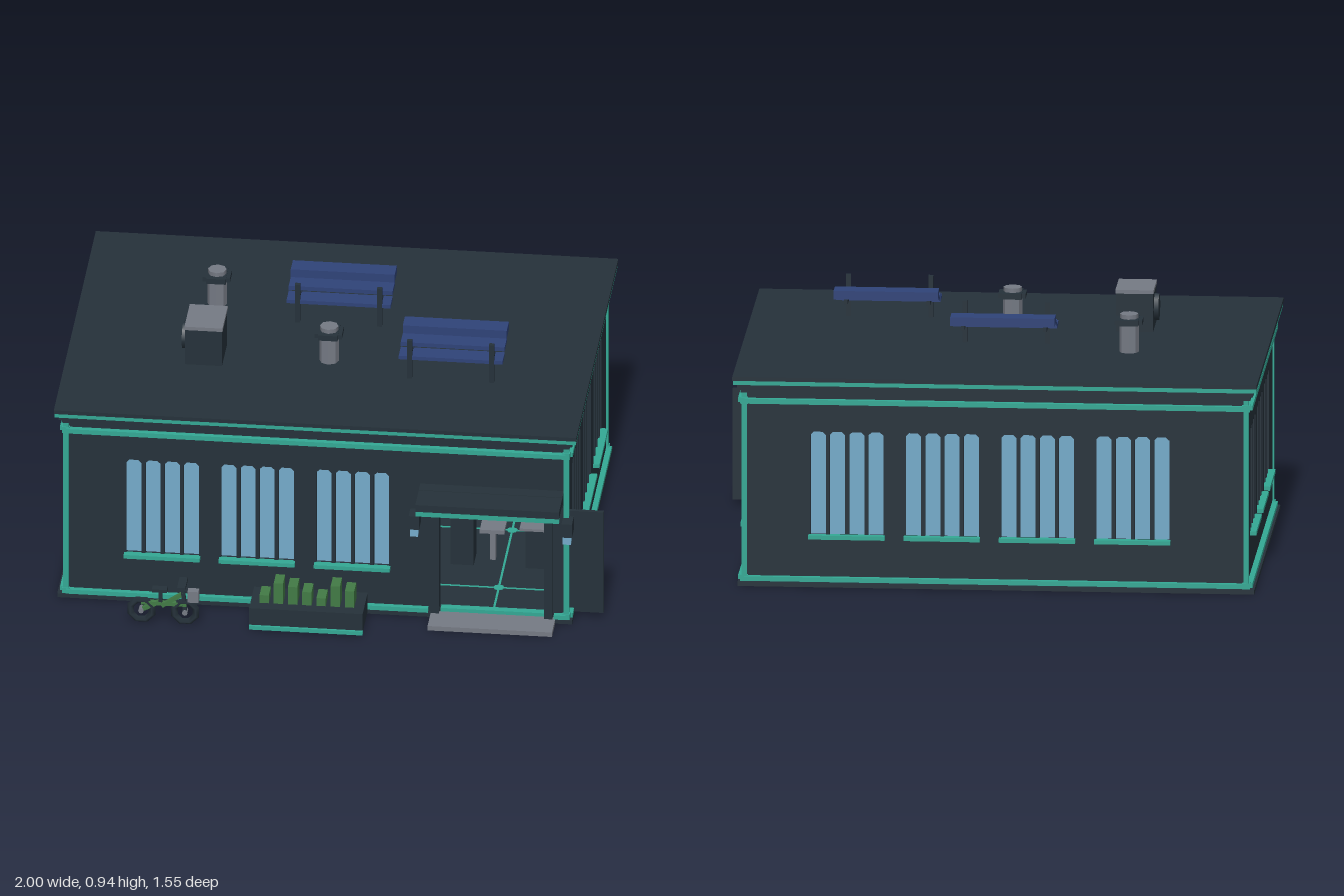
import * as THREE from 'three';

const mat = (name, color) => Object.assign(new THREE.MeshStandardMaterial({ color }), { name });

export function createModel() {
  const root = new THREE.Group();
  root.name = 'building';
  const dark = mat('dark slate', 0x25313a);
  const teal = mat('teal trim', 0x33a894);
  const glass = mat('blue glass', 0x74abca);
  const solar = mat('solar blue', 0x2f4378);
  const green = mat('plant green', 0x427a45);
  const grey = mat('grey metal', 0x757a84);
  const rugGreen = mat('rug green', 0x1f4a3c);

  const add = (parent, name, geometry, material) => {
    const m = new THREE.Mesh(geometry, material);
    m.name = name;
    parent.add(m);
    return m;
  };
  // box given by its limits on each axis
  const box = (parent, name, material, x0, x1, y0, y1, z0, z1) => {
    const m = add(parent, name, new THREE.BoxGeometry(x1 - x0, y1 - y0, z1 - z0), material);
    m.position.set((x0 + x1) / 2, (y0 + y1) / 2, (z0 + z1) / 2);
    return m;
  };
  const group = (name, parent = root) => {
    const g = new THREE.Group();
    g.name = name;
    parent.add(g);
    return g;
  };
  const polygon = (points, Type = THREE.Path) => new Type(points.map(p => new THREE.Vector2(...p)));

  // walls: outer face at local z = 0, windows recessed in chamfered openings
  const T = 0.03;
  function wall(name, half, windows, door) {
    const g = group(name);
    const panel = polygon([[-half, 0.015], [half, 0.015], [half, 0.74], [-half, 0.74]], THREE.Shape);
    for (const u of windows) {
      for (let i = 0; i < 4; i++) {
        const a = u - 0.133 + i * 0.07, b = a + 0.056, c = 0.012;
        panel.holes.push(polygon([[a, 0.19], [a, 0.575 - c], [a + c, 0.575], [b - c, 0.575], [b, 0.575 - c], [b, 0.19]]));
      }
      box(g, 'windowGlass', glass, u - 0.14, u + 0.14, 0.185, 0.58, -T - 0.004, -0.018);
      box(g, 'windowSill', teal, u - 0.14, u + 0.138, 0.177, 0.192, -0.005, 0.023);
    }
    if (door) {
      panel.holes.push(polygon([[door[0], 0.03], [door[0], 0.46], [door[1], 0.46], [door[1], 0.03]]));
    }
    const geo = new THREE.ExtrudeGeometry(panel, { depth: T, bevelEnabled: false });
    geo.translate(0, 0, -T);
    add(g, 'wallPanel', geo, dark);
    const w = half - 0.002;
    box(g, 'upperBand', teal, -w, w, 0.68, 0.698, -0.005, 0.02);
    if (door) {
      box(g, 'lowerBand', teal, -w, door[0] - 0.035, 0.018, 0.035, -0.005, 0.02);
      box(g, 'lowerBand', teal, door[1] + 0.035, w, 0.018, 0.035, -0.005, 0.02);
    } else box(g, 'lowerBand', teal, -w, w, 0.018, 0.035, -0.005, 0.02);
    return g;
  }
  const front = wall('frontWall', 0.915, [-0.562, -0.215, 0.133], [0.445, 0.835]);
  front.position.set(-0.045, 0, 0.56);
  const back = wall('backWall', 0.915, [-0.54, -0.193, 0.154, 0.501]);
  back.position.set(-0.045, 0, -0.73);
  back.rotation.y = Math.PI;
  for (const s of [-1, 1]) {
    const side = wall(s > 0 ? 'leftWall' : 'rightWall', 0.643, [-0.348, 0, 0.348]);
    side.position.set(-0.045 + s * 0.917, 0, -0.085);
    side.rotation.y = s * Math.PI / 2;
  }

  // corner trims with small brackets
  for (const sx of [-1, 1]) for (const sz of [-1, 1]) {
    const x = -0.045 + sx * 0.914, z = -0.085 + sz * 0.645;
    box(root, 'cornerTrim', teal, x - 0.01, x + 0.01, 0.02, 0.735, z - 0.01, z + 0.01);
    for (const y of [0.026, 0.69]) {
      box(root, 'cornerBracket', teal, x - 0.014, x + 0.014, y - 0.012, y + 0.012, z - 0.014, z + 0.014);
    }
  }

  // roof, cornice, foundation rim and floor
  box(root, 'corniceLower', dark, -0.975, 0.882, 0.72, 0.738, -0.745, 0.574);
  box(root, 'corniceUpper', dark, -0.985, 0.893, 0.736, 0.756, -0.757, 0.585);
  box(root, 'roofEdge', teal, -0.998, 0.908, 0.754, 0.772, -0.77, 0.6);
  box(root, 'roofSlab', dark, -1, 0.91, 0.77, 0.785, -0.773, 0.603);
  box(root, 'floor', dark, -0.95, 0.86, 0.005, 0.017, -0.72, 0.55);
  box(root, 'foundationFront', dark, -0.99, 0.892, 0, 0.016, 0.53, 0.577);
  box(root, 'foundationBack', dark, -0.99, 0.892, 0, 0.016, -0.757, -0.7);
  box(root, 'foundationSide', dark, -0.99, -0.93, 0, 0.016, -0.7, 0.53);
  box(root, 'foundationSide', dark, 0.84, 0.892, 0, 0.016, -0.7, 0.53);

  // floor inlays run through the slab
  for (const z of [-0.08, 0.36]) box(root, 'floorInlay', teal, -0.92, 0.83, 0.004, 0.019, z - 0.004, z + 0.004);
  for (const x of [-0.36, 0.23, 0.6]) {
    box(root, 'floorInlay', teal, x - 0.004, x + 0.004, 0.0035, 0.0195, -0.69, 0.52);
    for (const z of [-0.08, 0.36]) {
      const node = add(root, 'floorNode', new THREE.CylinderGeometry(0.02, 0.02, 0.017, 8), teal);
      node.position.set(x, 0.0115, z);
    }
  }
  box(root, 'rug', rugGreen, 0.28, 0.72, 0.003, 0.021, -0.68, -0.34);

  // interior counters, stool and desk
  for (const [x, z] of [[-0.21, -0.29], [-0.5, -0.44], [-0.65, 0.13]]) {
    const g = group('counter');
    box(g, 'counterBody', dark, x - 0.24, x + 0.24, 0.004, 0.15, z - 0.035, z + 0.035);
    box(g, 'counterTop', grey, x - 0.245, x + 0.245, 0.15, 0.165, z - 0.04, z + 0.04);
    for (const s of [-1, 1]) box(g, 'counterBase', teal, x - 0.24, x + 0.24, 0.002, 0.025, z + s * 0.035 - 0.004, z + s * 0.035 + 0.004);
  }
  const desk = group('receptionDesk');
  box(desk, 'deskBody', dark, 0.68, 0.78, 0.017, 0.18, 0.1, 0.2);
  box(desk, 'deskTop', grey, 0.66, 0.79, 0.18, 0.19, 0.08, 0.22);
  box(desk, 'deskScreen', dark, 0.69, 0.78, 0.19, 0.38, 0.1, 0.12);
  box(desk, 'deskLight', teal, 0.73, 0.75, 0.24, 0.27, 0.12, 0.125);
  const machine = group('machine');
  box(machine, 'machineBody', dark, 0.405, 0.49, 0.017, 0.26, 0.1, 0.2);
  box(machine, 'machinePanel', teal, 0.415, 0.48, 0.21, 0.24, 0.2, 0.205);
  const stool = group('stool');
  box(stool, 'stoolSeat', grey, 0.51, 0.6, 0.14, 0.155, 0.1, 0.18);
  box(stool, 'stoolPost', grey, 0.545, 0.565, 0.017, 0.14, 0.13, 0.15);

  // entrance: frame, canopy, step, open door and lamps
  const entrance = group('entrance');
  for (const x of [0.375, 0.79]) box(entrance, 'doorPost', dark, x, x + 0.03, 0.017, 0.49, 0.52, 0.58);
  box(entrance, 'doorLintel', dark, 0.375, 0.82, 0.455, 0.49, 0.53, 0.58);
  box(entrance, 'canopyBack', dark, 0.335, 0.86, 0.49, 0.54, 0.55, 0.61);
  box(entrance, 'canopy', dark, 0.335, 0.86, 0.51, 0.538, 0.56, 0.722);
  box(entrance, 'canopyEdge', teal, 0.335, 0.86, 0.49, 0.511, 0.705, 0.72);
  box(entrance, 'step', grey, 0.375, 0.83, 0, 0.018, 0.55, 0.68);
  box(entrance, 'threshold', teal, 0.41, 0.79, 0.018, 0.032, 0.535, 0.563);
  box(entrance, 'openDoor', dark, 0.85, 1, 0.02, 0.435, 0.5, 0.514);
  for (const x of [0.318, 0.877]) {
    box(entrance, 'lampHood', dark, x - 0.019, x + 0.019, 0.38, 0.435, 0.555, 0.62);
    box(entrance, 'lampGlass', glass, x - 0.015, x + 0.015, 0.35, 0.38, 0.585, 0.617);
  }

  // planter with clipped shrubs
  const planter = group('planter');
  box(planter, 'planterBox', dark, -0.27, 0.145, 0.012, 0.088, 0.58, 0.745);
  box(planter, 'planterTrim', teal, -0.27, 0.145, 0.005, 0.02, 0.735, 0.755);
  [0.12, 0.172, 0.16, 0.142, 0.12, 0.172, 0.155].forEach((h, i) => {
    const x = -0.22 + i * 0.052;
    box(planter, 'shrub', green, x - 0.017, x + 0.017, 0.085, h, 0.63, 0.7);
  });

  // bicycle
  const bike = group('bicycle');
  for (const x of [-0.665, -0.505]) {
    const wheel = add(bike, 'wheel', new THREE.TorusGeometry(0.042, 0.013, 4, 8), dark);
    wheel.position.set(x, 0.055, 0.735);
    wheel.rotation.z = Math.PI / 8;
    const hub = add(bike, 'hub', new THREE.CylinderGeometry(0.01, 0.01, 0.03, 8), grey);
    hub.position.set(x, 0.055, 0.735);
    hub.rotation.x = Math.PI / 2;
  }
  const tube = (name, material, x0, y0, x1, y1) => {
    const m = add(bike, name, new THREE.BoxGeometry(Math.hypot(x1 - x0, y1 - y0), 0.014, 0.016), material);
    m.position.set((x0 + x1) / 2, (y0 + y1) / 2, 0.735);
    m.rotation.z = Math.atan2(y1 - y0, x1 - x0);
  };
  tube('frameTube', green, -0.665, 0.085, -0.5, 0.085);
  tube('frameTube', green, -0.59, 0.075, -0.51, 0.13);
  tube('rearFork', green, -0.665, 0.055, -0.6, 0.09);
  tube('seatPost', dark, -0.595, 0.08, -0.595, 0.14);
  tube('steeringPost', dark, -0.505, 0.055, -0.515, 0.165);
  box(bike, 'saddle', dark, -0.625, -0.57, 0.135, 0.147, 0.72, 0.75);
  box(bike, 'handlebar', dark, -0.53, -0.5, 0.16, 0.173, 0.692, 0.775);
  box(bike, 'basket', grey, -0.495, -0.455, 0.1, 0.145, 0.72, 0.75);

  // rooftop cooling unit with a side fan
  const unit = group('coolingUnit');
  box(unit, 'unitBody', dark, -0.565, -0.43, 0.783, 0.93, 0.03, 0.2);
  box(unit, 'unitLid', grey, -0.567, -0.428, 0.927, 0.941, 0.028, 0.202);
  const fan = add(unit, 'unitFan', new THREE.CylinderGeometry(0.05, 0.05, 0.02, 8), dark);
  fan.position.set(-0.572, 0.86, 0.115);
  fan.rotation.z = Math.PI / 2;

  // roof vents
  for (const [x, z] of [[-0.5, -0.275], [-0.048, 0.11]]) {
    const vent = group('roofVent');
    const pipe = add(vent, 'ventPipe', new THREE.CylinderGeometry(0.036, 0.036, 0.12, 8).toNonIndexed(), grey);
    pipe.geometry.computeVertexNormals();
    pipe.position.set(x, 0.84, z);
    box(vent, 'ventCap', dark, x - 0.036, x + 0.036, 0.89, 0.911, z - 0.05, z + 0.05);
    box(vent, 'ventCap', dark, x - 0.05, x + 0.05, 0.892, 0.909, z - 0.036, z + 0.036);
    const top = add(vent, 'ventTop', new THREE.CylinderGeometry(0.034, 0.034, 0.02, 8), grey);
    top.position.set(x, 0.917, z);
  }

  // stepped solar panels on posts, higher towards the back
  for (const [x, z] of [[-0.045, -0.17], [0.407, 0.21]]) {
    const array = group('solarArray');
    [[0.858, 0.872, 0, 0.07], [0.877, 0.893, 0.067, 0.138], [0.893, 0.925, 0.135, 0.205]].forEach(([y0, y1, d0, d1]) =>
      box(array, 'solarStrip', solar, x - 0.19, x + 0.19, y0, y1, z - d1, z - d0));
    for (const s of [-1, 1]) {
      box(array, 'solarPost', dark, x + s * 0.15 - 0.009, x + s * 0.15 + 0.009, 0.783, 0.94, z - 0.008, z + 0.008);
      box(array, 'solarArm', dark, x + s * 0.15 - 0.007, x + s * 0.15 + 0.007, 0.86, 0.876, z - 0.14, z);
    }
  }
  return root;
}
